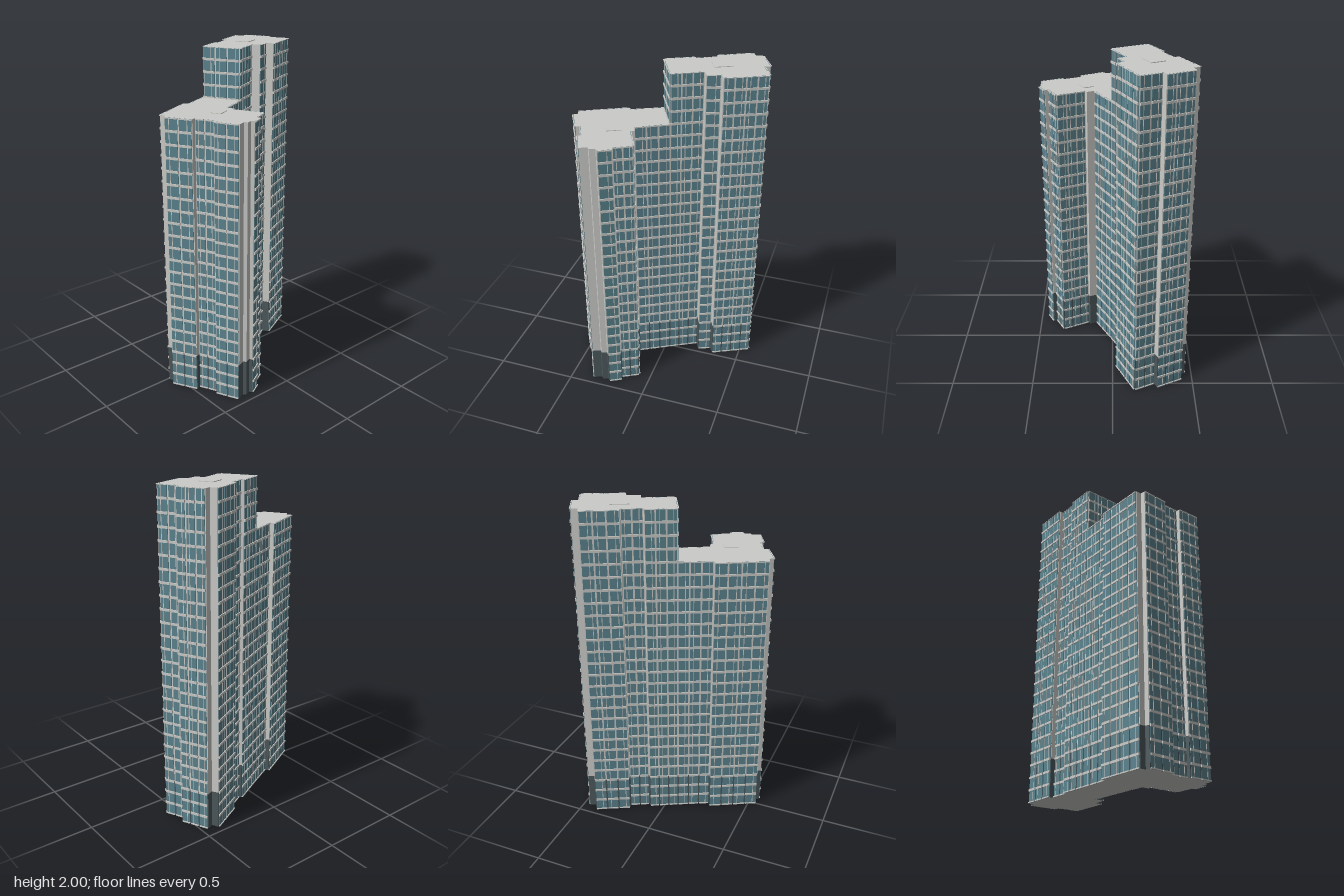
import * as THREE from 'three';
import { mergeGeometries } from 'three/addons/utils/BufferGeometryUtils.js';

const FLOOR = 2 / 26;
const BASE = 3 * FLOOR;
const LOW = 22 * FLOOR;
const HIGH = 1.996;

// Plan outlines as [x, z], running clockwise seen from above
const tallPlan = [
  [-0.137, -0.558], [-0.024, -0.325], [-0.066, -0.302], [-0.033, -0.224], [-0.084, -0.2],
  [0.006, -0.03], [-0.203, 0.075], [-0.288, -0.088], [-0.272, -0.1], [-0.33, -0.21],
  [-0.355, -0.2], [-0.457, -0.4], [-0.42, -0.42], [-0.433, -0.457], [-0.275, -0.534], [-0.257, -0.5],
];
const lowPlan = [
  [0.006, -0.03], [0.107, 0.155], [0.155, 0.134], [0.167, 0.158], [0.334, 0.078], [0.388, 0.18],
  [0.41, 0.17], [0.45, 0.245], [0.434, 0.257], [0.447, 0.29], [0.43, 0.303], [0.45, 0.35],
  [0.313, 0.415], [0.3, 0.397], [0.194, 0.448], [0.205, 0.475], [0.057, 0.555], [0.04, 0.533],
  [0.009, 0.547], [-0.137, 0.27], [-0.112, 0.257], [-0.203, 0.075],
];

function makeMaterial(name, color) {
  const m = new THREE.MeshStandardMaterial({ color });
  m.name = name;
  return m;
}

// Upright prism over a plan outline
function prism(plan, y0, y1) {
  const shape = new THREE.Shape(plan.map(([x, z]) => new THREE.Vector2(x, -z)));
  const g = new THREE.ExtrudeGeometry(shape, { depth: y1 - y0, bevelEnabled: false });
  return g.rotateX(-Math.PI / 2).translate(0, y0, 0);
}

// Lays window strips, mullions and floor bands along one wall
function dressWall(a, b, y0, y1, out) {
  const dx = b[0] - a[0], dz = b[1] - a[1];
  const length = Math.hypot(dx, dz);
  if (length < 0.06) return; // short returns stay plain
  const angle = Math.atan2(-dz, dx);
  const nx = dz / length, nz = -dx / length;

  const plate = (list, t, bottom, top, width, depth) => {
    const g = new THREE.BoxGeometry(width, top - bottom, depth);
    g.rotateY(angle);
    g.translate(
      a[0] + dx * t + nx * depth / 2,
      (bottom + top) / 2,
      a[1] + dz * t + nz * depth / 2,
    );
    list.push(g);
  };

  const bays = Math.max(1, Math.round(length / 0.07));
  const pitch = length / bays;
  for (let i = 0; i < bays; i++) {
    const t = (i + 0.5) / bays;
    const width = pitch - 0.01;
    plate(out.glass, t, y0, y1, width, 0.003);
    // slim mullion, alternating sides from bay to bay
    const shift = (i % 2 ? 1 : -1) * width * 0.17 / length;
    plate(out.mullions, t + shift, y0, y1, 0.004, 0.005);
    for (let f = Math.round(y0 / FLOOR); f * FLOOR < y1 + 0.01; f++) {
      const bottom = Math.max(y0, f * FLOOR - 0.007);
      const top = Math.min(y1, f * FLOOR + 0.007);
      plate(out.bands, t, bottom, top, width + 0.003, 0.008);
    }
  }
}

export function createModel() {
  const model = new THREE.Group();
  model.name = 'apartmentTower';
  const concrete = makeMaterial('light concrete', 0xcbcbc8);
  const stone = makeMaterial('dark base stone', 0x4c585b);
  const glass = makeMaterial('teal glass', 0x5b838e);

  const add = (name, geometry, material, parent) => {
    const mesh = new THREE.Mesh(geometry, material);
    mesh.name = name;
    parent.add(mesh);
    return mesh;
  };

  const wings = [
    { name: 'tallWing', plan: tallPlan, top: HIGH, shared: 5, sharedFrom: LOW,
      hatch: [-0.22, -0.267, 0.087, 0.108] },
    { name: 'lowWing', plan: lowPlan, top: LOW, shared: lowPlan.length - 1, sharedFrom: null,
      hatch: [0.164, 0.26, 0.066, 0.085] },
  ];

  for (const { name, plan, top, shared, sharedFrom, hatch } of wings) {
    const wing = new THREE.Group();
    wing.name = name;
    model.add(wing);

    // Dark base storeys and light upper body
    add('base', prism(plan, 0, BASE), [concrete, stone], wing);
    add('upperBody', prism(plan, BASE, top), concrete, wing);

    // Facades; the wall between the wings is dressed only above the lower roof
    const out = { glass: [], mullions: [], bands: [] };
    plan.forEach((a, i) => {
      const b = plan[(i + 1) % plan.length];
      if (i !== shared) dressWall(a, b, 0, top, out);
      else if (sharedFrom !== null) dressWall(a, b, sharedFrom, top, out);
    });
    add('windowStrips', mergeGeometries(out.glass), glass, wing);
    add('mullions', mergeGeometries(out.mullions), concrete, wing);
    add('floorBands', mergeGeometries(out.bands), concrete, wing);

    // Roof hatch, turned with the plan
    const [x, z, w, d] = hatch;
    const lid = add('roofHatch', new THREE.BoxGeometry(w, 0.004, d), concrete, wing);
    lid.position.set(x, top + 0.002, z);
    lid.rotation.y = Math.atan2(0.105, 0.209);
  }
  return model;
}
